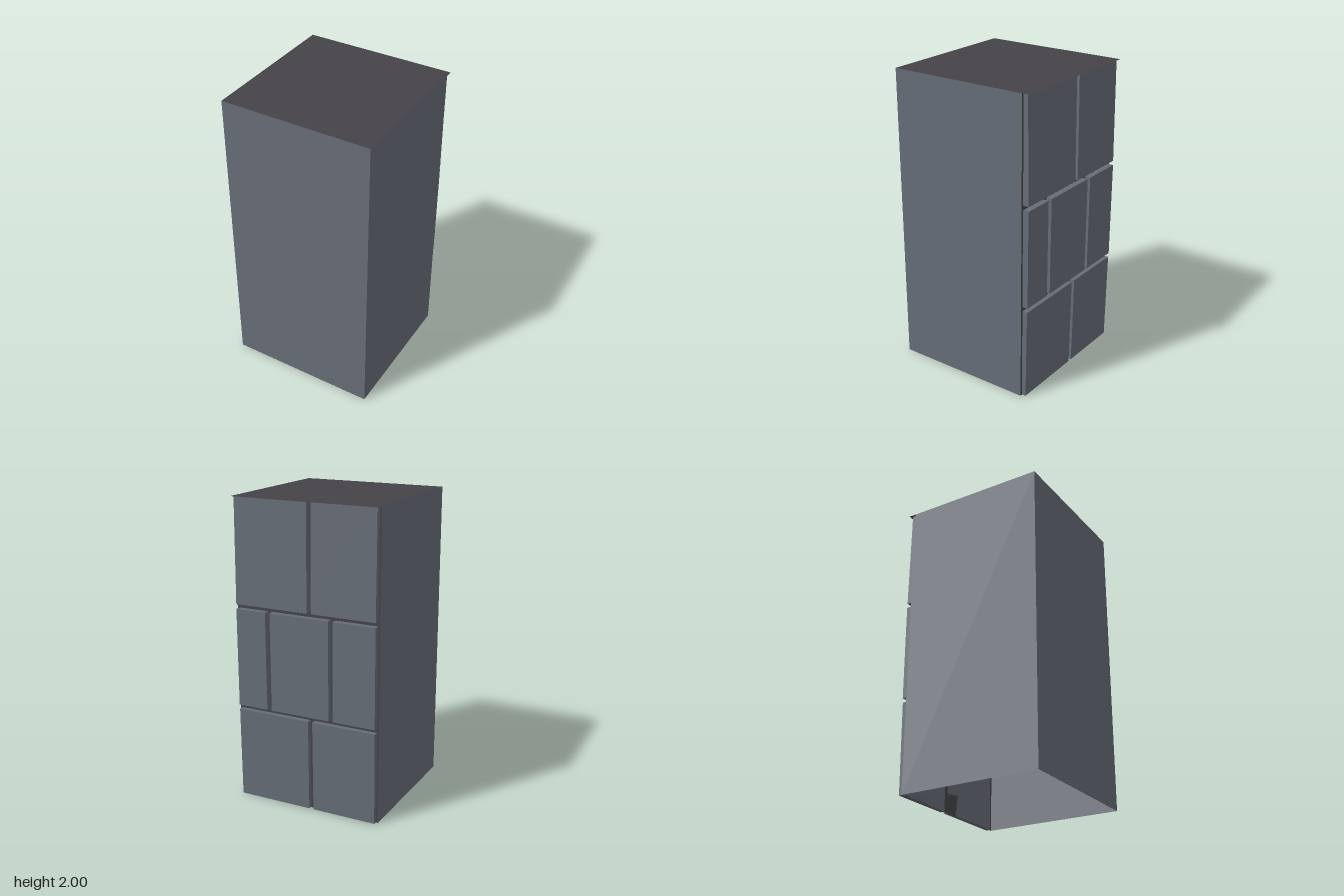
import * as THREE from 'three';

export function createModel() {
  const model = new THREE.Group();
  const grey = new THREE.MeshStandardMaterial({ color: 0x666d77, side: THREE.DoubleSide });
  grey.name = 'slate grey';
  const dark = new THREE.MeshStandardMaterial({ color: 0x454348, side: THREE.DoubleSide });
  dark.name = 'dark mortar';

  const H = 2, BACK = -0.45, DEPTH = 0.5 - BACK, MID = (0.5 + BACK) / 2;

  // One flat, open panel of the shell
  function panel(name, w, h, material, position, rx = 0, ry = 0) {
    const mesh = new THREE.Mesh(new THREE.PlaneGeometry(w, h), material);
    mesh.name = name;
    mesh.position.set(...position);
    mesh.rotation.set(rx, ry, 0);
    model.add(mesh);
  }

  // Hollow pillar, open underneath, with a cap overhanging the back
  panel('frontWall', 1, H, grey, [0, H / 2, 0.5]);
  panel('leftWall', DEPTH, H, grey, [0.5, H / 2, MID], 0, Math.PI / 2);
  panel('rightWall', DEPTH, H, grey, [-0.5, H / 2, MID], 0, -Math.PI / 2);
  panel('backWall', 1, H, dark, [0, H / 2, BACK], 0, Math.PI);
  panel('topCap', 1, 1, dark, [0, H, 0], -Math.PI / 2);

  // Stone block whose outer face leans slightly from bottom to top
  function block(x0, x1, y0, y1, zBottom, zTop) {
    const geometry = new THREE.BoxGeometry(x1 - x0, y1 - y0, 0.04);
    geometry.translate((x0 + x1) / 2, (y0 + y1) / 2, 0);
    const p = geometry.attributes.position;
    for (let i = 0; i < p.count; i++) {
      const outer = p.getY(i) > (y0 + y1) / 2 ? zTop : zBottom;
      p.setZ(i, p.getZ(i) > 0 ? BACK : outer);
    }
    geometry.computeVertexNormals();
    const mesh = new THREE.Mesh(geometry, grey);
    mesh.name = 'stoneBlock';
    return mesh;
  }

  // Three staggered courses of blocks on the back
  const halves = [[-0.487, -0.052], [-0.022, 0.485]];
  const thirds = [[-0.487, -0.2], [-0.17, 0.242], [0.274, 0.485]];
  const courses = [
    { y: [0.003, 0.61], z: [-0.478, -0.485], spans: halves },
    { y: [0.64, 1.288], z: [-0.488, -0.49], spans: thirds },
    { y: [1.318, 1.998], z: [-0.489, -0.48], spans: halves },
  ];
  const stones = new THREE.Group();
  stones.name = 'backStonework';
  for (const { y, z, spans } of courses) {
    for (const [x0, x1] of spans) stones.add(block(x0, x1, ...y, ...z));
  }
  model.add(stones);
  return model;
}
